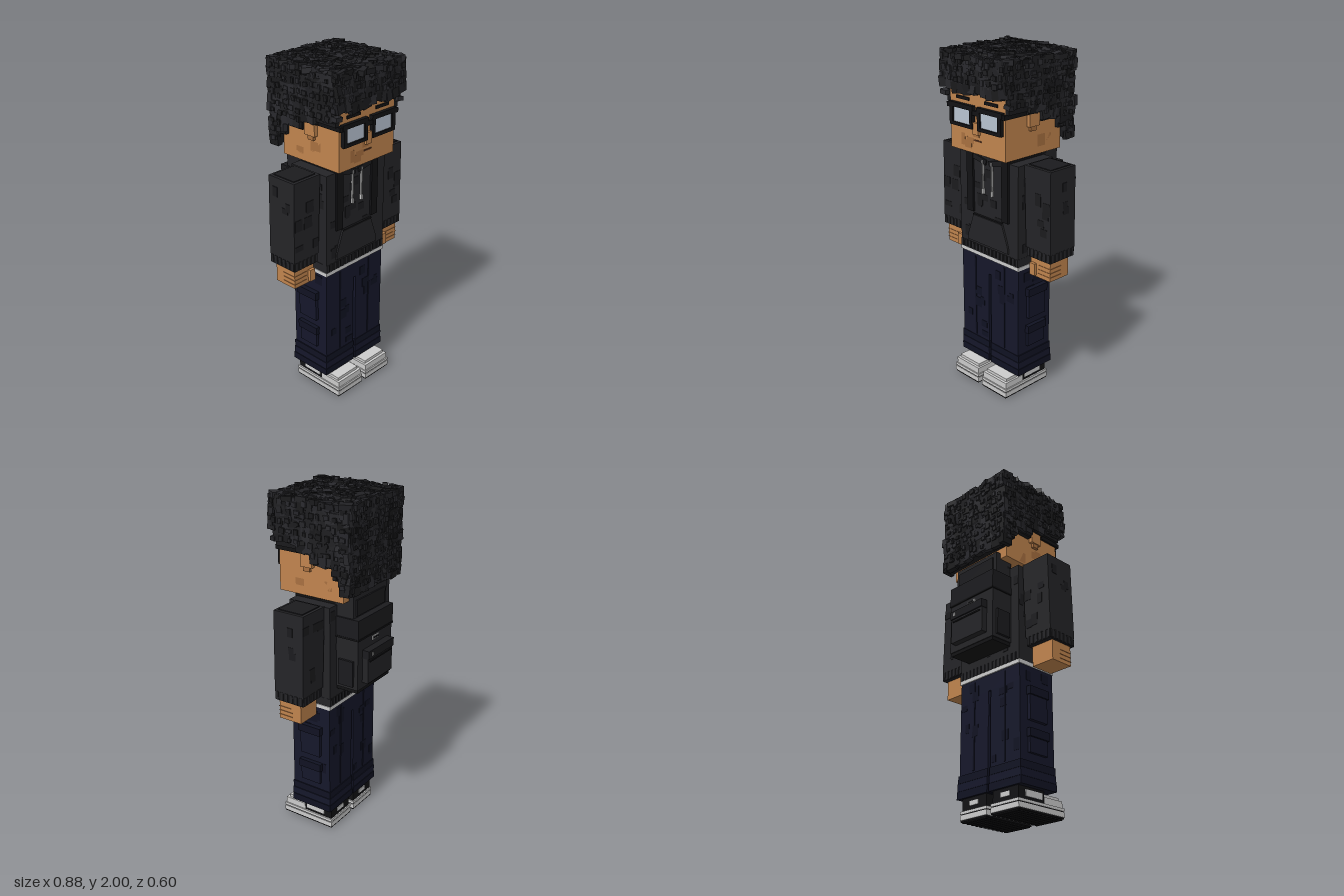
import * as THREE from 'three';
import { mergeGeometries } from 'three/addons/utils/BufferGeometryUtils.js';

const C = {
  skin: 0xc0844e, skinDark: 0xa87040, hoodie: 0x242427, hoodieDark: 0x1b1b1e, black: 0x121214,
  pants: 0x15172a, pantsDark: 0x101222, white: 0xc9c9c9, grey: 0x9a9a9a, lens: 0xb9c4d2,
  hair: [0x1a1a1c, 0x202023, 0x28282c],
};
const mats = {};
const mat = (c) => (mats[c] ??= new THREE.MeshStandardMaterial({ color: c, flatShading: true }));

let seed = 7;
const rnd = (a = 0, b = 1) => {
  seed = (seed * 16807) % 2147483647;
  return a + (b - a) * (seed / 2147483647);
};

// Box given by its limits on each axis
function box(parent, name, color, x0, x1, y0, y1, z0, z1) {
  const m = new THREE.Mesh(new THREE.BoxGeometry(Math.abs(x1 - x0), y1 - y0, z1 - z0), mat(color));
  m.position.set((x0 + x1) / 2, (y0 + y1) / 2, (z0 + z1) / 2);
  m.name = name;
  parent.add(m);
  return m;
}

function group(parent, name) {
  const g = new THREE.Group();
  g.name = name;
  parent.add(g);
  return g;
}

// Flat cloth or skin patches on a box: each lies on one of the four upright faces
function patches(parent, name, color, n, x0, x1, y0, y1, z0, z1) {
  const parts = [];
  for (let i = 0; i < n; i++) {
    const w = rnd(0.03, 0.06), h = rnd(0.03, 0.07), side = i % 4;
    const y = rnd(y0 + h / 2, y1 - h / 2);
    if (side < 2) {
      parts.push(new THREE.BoxGeometry(w, h, 0.004).translate(rnd(x0 + w / 2, x1 - w / 2), y, side ? z0 : z1));
    } else {
      parts.push(new THREE.BoxGeometry(0.004, h, w).translate(side === 2 ? x0 : x1, y, rnd(z0 + w / 2, z1 - w / 2)));
    }
  }
  const m = new THREE.Mesh(mergeGeometries(parts), mat(color));
  m.name = name;
  parent.add(m);
}

// Lower edge of the hair along the side of the head
const hairline = (z) => (z > 0.1 ? 1.69 : z > 0 ? 1.67 : z > -0.13 ? 1.62 : z > -0.17 ? 1.56 : 1.5);

function buildHair(parent) {
  const g = group(parent, 'hair');
  box(g, 'hairCap', C.hair[0], -0.24, 0.24, 1.78, 1.955, -0.222, 0.258);
  box(g, 'hairBack', C.hair[0], -0.24, 0.24, 1.5, 1.8, -0.222, -0.172);
  for (const s of [-1, 1]) {
    for (const [z0, z1] of [[0.1, 0.24], [0, 0.1], [-0.13, 0], [-0.175, -0.13]]) {
      box(g, 'hairSide', C.hair[0], s * 0.21, s * 0.24, hairline((z0 + z1) / 2), 1.8, z0, z1);
    }
  }
  // Tilted chunks covering the cap, with smaller chunks between
  const shades = [[], [], []];
  const chunk = (x, y, z, w, h, d, tilt, axis) => {
    const b = new THREE.BoxGeometry(w, h, d);
    const t = () => rnd(-0.13, 0.13);
    const spin = rnd(-tilt, tilt);
    const r = [t(), t(), t()];
    r[axis] = spin;
    b.rotateX(r[0]).rotateY(r[1]).rotateZ(r[2]).translate(x, y, z);
    shades[Math.floor(rnd(0, 2.999))].push(b);
  };
  for (const [step, lo, hi, thick] of [[0.046, 0.05, 0.072, 0.03], [0.05, 0.018, 0.034, 0.046]]) {
    const size = () => rnd(lo, hi);
    const j = () => rnd(-0.014, 0.014);
    for (let x = -0.23; x <= 0.231; x += step) {
      for (let z = -0.21; z <= 0.25; z += step) {
        const rim = Math.max(Math.abs(x) / 0.24, Math.abs(z - 0.02) / 0.24) > 0.85 ? 0.012 : 0;
        chunk(x + j(), 1.968 - rim + rnd(-0.006, 0.006), z + j(), size(), thick, size(), 0.8, 1);
      }
      for (let y = 1.935; y > 1.51; y -= step) {
        if (y > 1.785) chunk(x + j(), y + j(), 0.262, size(), size(), thick, 0.2, 2);
        chunk(x + j(), y + j(), -0.225, size(), size(), thick, 0.12, 2);
      }
    }
    for (const s of [-1, 1]) {
      for (let z = -0.205; z <= 0.25; z += step) {
        for (let y = 1.935; y > hairline(z) + 0.02; y -= step) {
          chunk(s * 0.243, y + j() * 0.6, z + j() * 0.7, thick, size(), size(), 0.15, 0);
        }
      }
    }
  }
  shades.forEach((list, i) => {
    const m = new THREE.Mesh(mergeGeometries(list), mat(C.hair[i]));
    m.name = 'hairChunks';
    g.add(m);
  });
}

function buildHead(parent) {
  const g = group(parent, 'head');
  box(g, 'skull', C.skin, -0.215, 0.215, 1.435, 1.86, -0.175, 0.24);
  box(g, 'neck', C.skinDark, -0.075, 0.075, 1.38, 1.44, -0.05, 0.11);
  patches(g, 'skinTone', C.skinDark, 14, -0.213, 0.213, 1.44, 1.6, -0.173, 0.2385);
  box(g, 'nose', C.skin, -0.022, 0.022, 1.545, 1.61, 0.24, 0.255);
  box(g, 'mouth', 0x5a3520, -0.03, 0.03, 1.505, 1.513, 0.24, 0.243);
  box(g, 'glassesBridge', C.black, -0.025, 0.025, 1.65, 1.675, 0.24, 0.26);
  for (const s of [-1, 1]) {
    box(g, 'ear', C.skin, s * 0.215, s * 0.238, 1.6, 1.67, 0.01, 0.085);
    box(g, 'earLobe', C.skinDark, s * 0.215, s * 0.232, 1.575, 1.6, 0.03, 0.07);
    box(g, 'eyebrow', C.black, s * 0.06, s * 0.16, 1.718, 1.735, 0.24, 0.246);
    box(g, 'lens', C.lens, s * 0.035, s * 0.178, 1.585, 1.675, 0.243, 0.252);
    box(g, 'frameTop', C.black, s * 0.015, s * 0.208, 1.672, 1.698, 0.24, 0.262);
    box(g, 'frameBottom', C.black, s * 0.02, s * 0.198, 1.572, 1.59, 0.24, 0.262);
    box(g, 'frameInner', C.black, s * 0.02, s * 0.04, 1.58, 1.68, 0.24, 0.262);
    box(g, 'frameOuter', C.black, s * 0.175, s * 0.2, 1.58, 1.68, 0.24, 0.262);
    box(g, 'temple', C.black, s * 0.214, s * 0.226, 1.665, 1.69, 0.05, 0.255);
    box(g, 'hinge', C.black, s * 0.2, s * 0.226, 1.665, 1.69, 0.24, 0.258);
  }
  buildHair(g);
}

function buildTorso(parent) {
  const g = group(parent, 'torso');
  box(g, 'hoodie', C.hoodie, -0.233, 0.233, 0.865, 1.4, -0.1, 0.165);
  patches(g, 'hoodiePatches', C.hoodieDark, 44, -0.233, 0.233, 0.88, 1.38, -0.1, 0.165);
  box(g, 'hem', C.hoodieDark, -0.23, 0.23, 0.815, 0.868, -0.098, 0.162);
  for (let i = 0; i < 16; i++) {
    const x = -0.225 + i * 0.03;
    box(g, 'hemRib', C.hoodie, x - 0.009, x + 0.009, 0.818, 0.865, -0.103, 0.168);
  }
  box(g, 'shirtEdge', C.white, -0.236, 0.236, 0.795, 0.817, -0.102, 0.166);
  // Kangaroo pocket
  const s = new THREE.Shape([[-0.165, 0.88], [0.165, 0.88], [0.16, 0.92], [0.115, 1.045], [-0.115, 1.045], [-0.16, 0.92]]
    .map(([x, y]) => new THREE.Vector2(x, y)));
  const pocket = new THREE.Mesh(new THREE.ExtrudeGeometry(s, { depth: 0.012, bevelEnabled: false }), mat(C.hoodie));
  pocket.position.z = 0.164;
  pocket.name = 'frontPocket';
  g.add(pocket);
  box(g, 'pocketSeam', C.black, -0.115, 0.115, 1.04, 1.05, 0.165, 0.179);
  // Collar, hood and drawstrings
  box(g, 'collarBack', C.hoodieDark, -0.12, 0.12, 1.39, 1.425, -0.1, -0.04);
  box(g, 'hood', C.hoodie, -0.165, 0.165, 1.33, 1.47, -0.205, -0.09);
  box(g, 'hoodFold', C.hoodieDark, -0.14, 0.14, 1.35, 1.44, -0.214, -0.2);
  for (const k of [-1, 1]) {
    box(g, 'collarSide', C.hoodieDark, k * 0.075, k * 0.13, 1.38, 1.415, -0.06, 0.16);
    const flap = box(g, 'collarFront', C.hoodieDark, k * 0.01, k * 0.115, 1.365, 1.395, 0.15, 0.173);
    flap.rotation.z = k * 0.2;
    box(g, 'drawstring', C.grey, k * 0.032, k * 0.04, 1.2, 1.38, 0.165, 0.177);
    box(g, 'stringTip', C.white, k * 0.03, k * 0.042, 1.185, 1.215, 0.165, 0.179);
    box(g, 'strapFront', C.black, k * 0.115, k * 0.165, 1.06, 1.405, 0.16, 0.177);
    box(g, 'strapTop', C.black, k * 0.115, k * 0.165, 1.395, 1.412, -0.12, 0.177);
  }
}

function buildBackpack(parent) {
  const g = group(parent, 'backpack');
  box(g, 'packBody', C.hoodie, -0.172, 0.172, 0.93, 1.33, -0.24, -0.1);
  box(g, 'packBase', C.black, -0.166, 0.166, 0.91, 0.935, -0.235, -0.1);
  box(g, 'packLid', C.hoodieDark, -0.176, 0.176, 1.23, 1.34, -0.245, -0.1);
  box(g, 'lidZip', C.black, -0.178, 0.178, 1.222, 1.232, -0.248, -0.1);
  box(g, 'packPocket', C.hoodie, -0.125, 0.125, 0.965, 1.14, -0.276, -0.23);
  box(g, 'pocketFlap', C.hoodieDark, -0.128, 0.128, 1.11, 1.158, -0.284, -0.23);
  box(g, 'pocketZip', C.black, -0.11, 0.11, 1.09, 1.098, -0.281, -0.27);
  box(g, 'zipPull', C.grey, 0.085, 0.1, 1.125, 1.145, -0.288, -0.28);
  box(g, 'labelPatch', C.white, -0.03, 0.03, 1.185, 1.208, -0.245, -0.235);
  box(g, 'labelInset', C.black, -0.022, 0.022, 1.191, 1.202, -0.247, -0.24);
  for (const s of [-1, 1]) box(g, 'sidePocket', C.hoodieDark, s * 0.165, s * 0.186, 0.95, 1.1, -0.215, -0.12);
}

function buildArm(parent, s) {
  const g = group(parent, s > 0 ? 'leftArm' : 'rightArm');
  const sleeve = box(g, 'sleeve', C.hoodie, s * 0.237, s * 0.427, 0.94, 1.405, -0.068, 0.123);
  // Lower end leans outward
  const p = sleeve.geometry.attributes.position;
  for (let i = 0; i < p.count; i++) if (p.getY(i) < 0) p.setX(i, p.getX(i) + s * (p.getX(i) * s > 0 ? 0.009 : 0.017));
  box(g, 'shoulder', C.hoodieDark, s * 0.255, s * 0.41, 1.4, 1.41, -0.05, 0.105);
  patches(g, 'sleevePatches', C.hoodieDark, 20, s > 0 ? 0.25 : -0.43, s > 0 ? 0.43 : -0.25, 0.97, 1.38, -0.068, 0.123);
  box(g, 'cuff', C.hoodieDark, s * 0.262, s * 0.434, 0.89, 0.945, -0.066, 0.121);
  for (let i = 0; i < 6; i++) {
    const x = 0.273 + i * 0.03, z = -0.052 + i * 0.032;
    box(g, 'cuffRib', C.hoodie, s * (x - 0.008), s * (x + 0.008), 0.893, 0.942, -0.07, 0.125);
    box(g, 'cuffSideRib', C.hoodie, s * 0.26, s * 0.438, 0.893, 0.942, z - 0.008, z + 0.008);
  }
  box(g, 'hand', C.skin, s * 0.275, s * 0.42, 0.775, 0.895, -0.038, 0.105);
  box(g, 'thumb', C.skin, s * 0.28, s * 0.318, 0.785, 0.855, 0.1, 0.122);
  for (let i = 0; i < 3; i++) {
    box(g, 'fingerLine', C.skinDark, s * 0.33, s * 0.423, 0.797 + i * 0.025, 0.801 + i * 0.025, 0.02, 0.107);
  }
}

function buildLeg(parent, s) {
  const g = group(parent, s > 0 ? 'leftLeg' : 'rightLeg');
  const lo = s > 0 ? 0.009 : -0.232, hi = s > 0 ? 0.232 : -0.009;
  box(g, 'trouserLeg', C.pants, s * 0.009, s * 0.232, 0.15, 0.7, -0.095, 0.16);
  box(g, 'trouserSeat', C.pants, 0, s * 0.232, 0.7, 0.797, -0.095, 0.16);
  patches(g, 'trouserPatches', C.pantsDark, 24, lo, hi, 0.27, 0.78, -0.095, 0.16);
  for (let i = 0; i < 3; i++) {
    box(g, 'trouserFold', i % 2 ? C.pants : C.pantsDark, s * 0.007, s * (0.242 - i * 0.002),
      0.13 + i * 0.044, 0.172 + i * 0.044, -0.104 + i * 0.002, 0.165 - i * 0.001);
  }
  // Cargo pockets with flaps
  for (const [y0, y1, x] of [[0.485, 0.66, 0.252], [0.305, 0.425, 0.248]]) {
    box(g, 'cargoPocket', C.pants, s * 0.225, s * x, y0, y1, -0.038, 0.094);
    box(g, 'cargoFlap', C.pantsDark, s * 0.225, s * (x + 0.009), y1 - 0.035, y1 + 0.012, -0.045, 0.102);
  }
  box(g, 'kneeSeam', C.pantsDark, s * 0.115, s * 0.125, 0.27, 0.78, -0.099, 0.164);
  // Shoe
  const shoe = group(g, 'shoe');
  box(shoe, 'tread', C.black, s * 0.018, s * 0.217, 0.006, 0.016, -0.095, 0.243);
  for (let i = 0; i < 11; i++) {
    const z = -0.09 + i * 0.031;
    box(shoe, 'treadBar', C.black, s * 0.025, s * 0.21, 0, 0.008, z, z + 0.018);
  }
  box(shoe, 'sole', C.white, s * 0.015, s * 0.22, 0.015, 0.042, -0.098, 0.246);
  box(shoe, 'soleLine', C.black, s * 0.019, s * 0.216, 0.04, 0.05, -0.094, 0.242);
  box(shoe, 'soleTop', C.white, s * 0.016, s * 0.219, 0.048, 0.063, -0.097, 0.245);
  box(shoe, 'toe', C.white, s * 0.022, s * 0.212, 0.06, 0.1, 0.1, 0.238);
  box(shoe, 'toeTop', C.white, s * 0.035, s * 0.2, 0.1, 0.118, 0.1, 0.222);
  box(shoe, 'heel', C.black, s * 0.024, s * 0.21, 0.06, 0.135, -0.09, 0.1);
  box(shoe, 'sideStripe', C.white, s * 0.02, s * 0.214, 0.08, 0.115, -0.04, 0.085);
  box(shoe, 'heelTab', C.white, s * 0.085, s * 0.15, 0.085, 0.11, -0.094, -0.08);
  box(shoe, 'tongue', C.white, s * 0.06, s * 0.175, 0.1, 0.14, 0.08, 0.13);
}

export function createModel() {
  seed = 7;
  const model = new THREE.Group();
  model.name = 'blockyFigure';
  buildHead(model);
  buildTorso(model);
  buildBackpack(model);
  for (const s of [-1, 1]) {
    buildArm(model, s);
    buildLeg(model, s);
  }
  return model;
}
